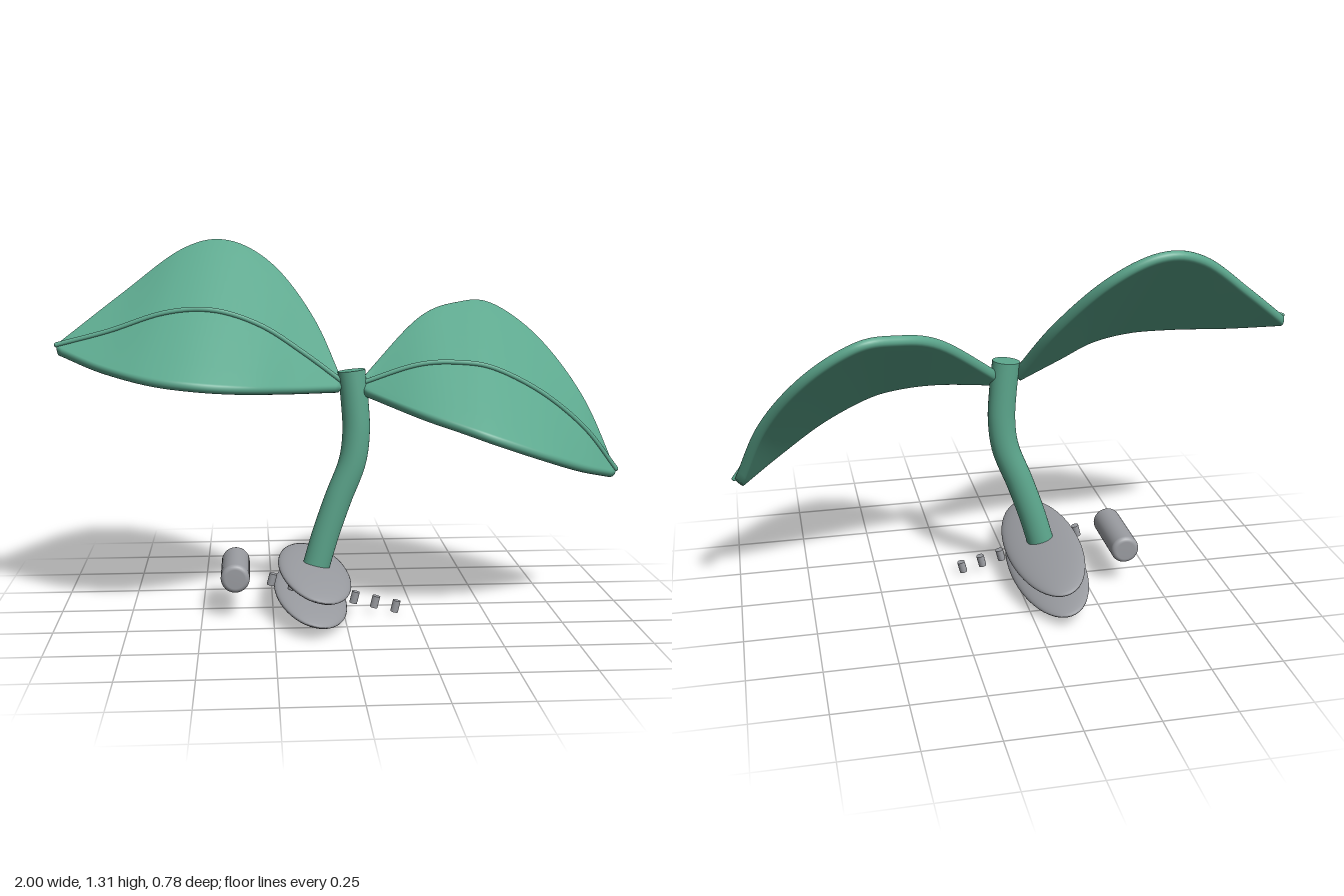
import * as THREE from 'three';

const green = new THREE.MeshStandardMaterial({ color: 0x5ca78d });
green.name = 'leaf green';
const grey = new THREE.MeshStandardMaterial({ color: 0x9b9da2 });
grey.name = 'clip grey';

const V = (p) => new THREE.Vector3(...p);
const curve = (pts) => new THREE.CatmullRomCurve3(pts.map(V), false, 'catmullrom', 0.5);

function add(parent, name, geometry, material) {
  const mesh = new THREE.Mesh(geometry, material);
  mesh.name = name;
  parent.add(mesh);
  return mesh;
}

// Leaf blade of even thickness with rounded rims, lofted between a front and a back edge (both run toward +x)
function makeLeaf(name, frontPts, backPts) {
  const group = new THREE.Group();
  group.name = name;
  const front = curve(frontPts), back = curve(backPts);
  const stations = 48, across = 10, arc = 8, half = 0.018;
  const w = new THREE.Vector3(0, 0.55, -0.835).normalize();
  const positions = [], index = [], rib = [];

  const midAt = (t) => {
    const f = front.getPoint(t), b = back.getPoint(t);
    return f.clone().lerp(b, f.z / (f.z - b.z));
  };
  const normalAt = (t) => {
    const a = midAt(Math.max(0, t - 0.02)), b = midAt(Math.min(1, t + 0.02));
    return b.sub(a).cross(w).normalize();
  };

  let ringSize = 0;
  for (let i = 0; i <= stations; i++) {
    const t = i / stations;
    const f = front.getPoint(t), b = back.getPoint(t), n = normalAt(t);
    const ring = [];
    const side = (from, to, sign) => {
      for (let k = 0; k < across; k++)
        ring.push(from.clone().lerp(to, k / across).addScaledVector(n, sign * half));
      for (let k = 0; k < arc; k++) {
        const a = (Math.PI * k) / arc;
        ring.push(to.clone().addScaledVector(n, sign * half * Math.cos(a))
          .addScaledVector(w, sign * half * Math.sin(a)));
      }
    };
    side(f, b, 1);
    side(b, f, -1);
    ringSize = ring.length;
    ring.forEach((p) => positions.push(p.x, p.y, p.z));
    rib.push(midAt(t).addScaledVector(n, 0.021));
  }
  for (let i = 0; i < stations; i++)
    for (let j = 0; j < ringSize; j++) {
      const k = (j + 1) % ringSize;
      const a = i * ringSize + j, c = i * ringSize + k;
      index.push(a, a + ringSize, c, a + ringSize, c + ringSize, c);
    }
  // blunt ends
  [0, 1].forEach((end) => {
    const base = end * stations * ringSize, c = positions.length / 3, m = midAt(end);
    positions.push(m.x, m.y, m.z);
    for (let j = 0; j < ringSize; j++) {
      const a = base + j, b = base + ((j + 1) % ringSize);
      index.push(c, end ? b : a, end ? a : b);
    }
  });
  const blade = new THREE.BufferGeometry();
  blade.setAttribute('position', new THREE.Float32BufferAttribute(positions, 3));
  blade.setIndex(index);
  blade.computeVertexNormals();
  add(group, 'leafBlade', blade, green);

  // raised midrib
  const ribCurve = new THREE.CatmullRomCurve3(rib);
  add(group, 'midrib', new THREE.TubeGeometry(ribCurve, 64, 0.009, 8), green);
  [rib[0], rib[rib.length - 1]].forEach((p) =>
    add(group, 'midribEnd', new THREE.SphereGeometry(0.009, 8, 6), green).position.copy(p));
  return group;
}

export function createModel() {
  const model = new THREE.Group();
  model.name = 'sproutHairClip';

  model.add(makeLeaf('rightLeaf',
    [[-0.985, 0.94, 0.005], [-0.83, 0.895, 0.15], [-0.665, 0.865, 0.27], [-0.505, 0.848, 0.315],
      [-0.345, 0.832, 0.275], [-0.185, 0.815, 0.15], [-0.01, 0.8, 0.005]],
    [[-0.985, 0.945, -0.005], [-0.77, 1.112, -0.195], [-0.56, 1.265, -0.315], [-0.4, 1.293, -0.35],
      [-0.24, 1.205, -0.31], [-0.1, 1.02, -0.175], [-0.01, 0.815, -0.005]]));
  model.add(makeLeaf('leftLeaf',
    [[0.07, 0.79, 0.005], [0.24, 0.738, 0.195], [0.38, 0.698, 0.285], [0.5, 0.658, 0.315],
      [0.67, 0.595, 0.265], [0.83, 0.532, 0.15], [0.975, 0.482, 0.005]],
    [[0.07, 0.81, -0.005], [0.3, 1.01, -0.23], [0.46, 1.063, -0.32], [0.59, 1.055, -0.35],
      [0.75, 0.935, -0.285], [0.885, 0.735, -0.145], [0.975, 0.49, -0.005]]));

  // curved stem with a flat top
  const stem = new THREE.Group();
  stem.name = 'stem';
  stem.scale.z = 0.86;
  const path = curve([[-0.095, 0.15, 0], [-0.06, 0.27, 0], [-0.015, 0.4, 0], [0.035, 0.53, 0],
    [0.05, 0.64, 0], [0.045, 0.75, 0], [0.033, 0.862, 0]]);
  add(stem, 'stemTube', new THREE.TubeGeometry(path, 48, 0.049, 24), green);
  [0, 1].forEach((t) => {
    const cap = add(stem, 'stemCap', new THREE.CircleGeometry(0.049, 24), green);
    const dir = path.getTangent(t).multiplyScalar(t ? 1 : -1);
    cap.position.copy(path.getPoint(t));
    cap.quaternion.setFromUnitVectors(new THREE.Vector3(0, 0, 1), dir);
  });
  model.add(stem);

  // two flattened oval clip plates
  const tilt = -0.245;
  [['upperPlate', -0.1, 0.133], ['lowerPlate', -0.115, 0.05]].forEach(([name, x, y]) => {
    const plate = add(model, name, new THREE.SphereGeometry(1, 48, 24), grey);
    plate.scale.set(0.134, 0.031, 0.392);
    plate.position.set(x, y, 0);
    plate.rotation.z = tilt;
  });

  // rounded hinge roller lying front to back
  const profile = [new THREE.Vector2(0, -0.137)];
  for (const s of [-1, 1])
    for (let k = 0; k <= 5; k++) {
      const a = ((s < 0 ? k : 5 - k) / 5) * Math.PI / 2;
      profile.push(new THREE.Vector2(0.034 + 0.017 * Math.sin(a), s * (0.12 + 0.017 * Math.cos(a))));
    }
  profile.push(new THREE.Vector2(0, 0.137));
  const roller = add(model, 'roller', new THREE.LatheGeometry(profile, 32), grey);
  roller.rotation.x = Math.PI / 2;
  roller.position.set(-0.383, 0.147, 0);

  // row of small teeth between the plates
  for (let i = 0; i < 7; i++) {
    const tooth = add(model, 'tooth', new THREE.CylinderGeometry(0.014, 0.014, 0.042, 16), grey);
    tooth.position.set(-0.254 + 0.073 * i, 0.134 - 0.0178 * i, 0.093);
    tooth.rotation.z = tilt;
  }
  return model;
}
